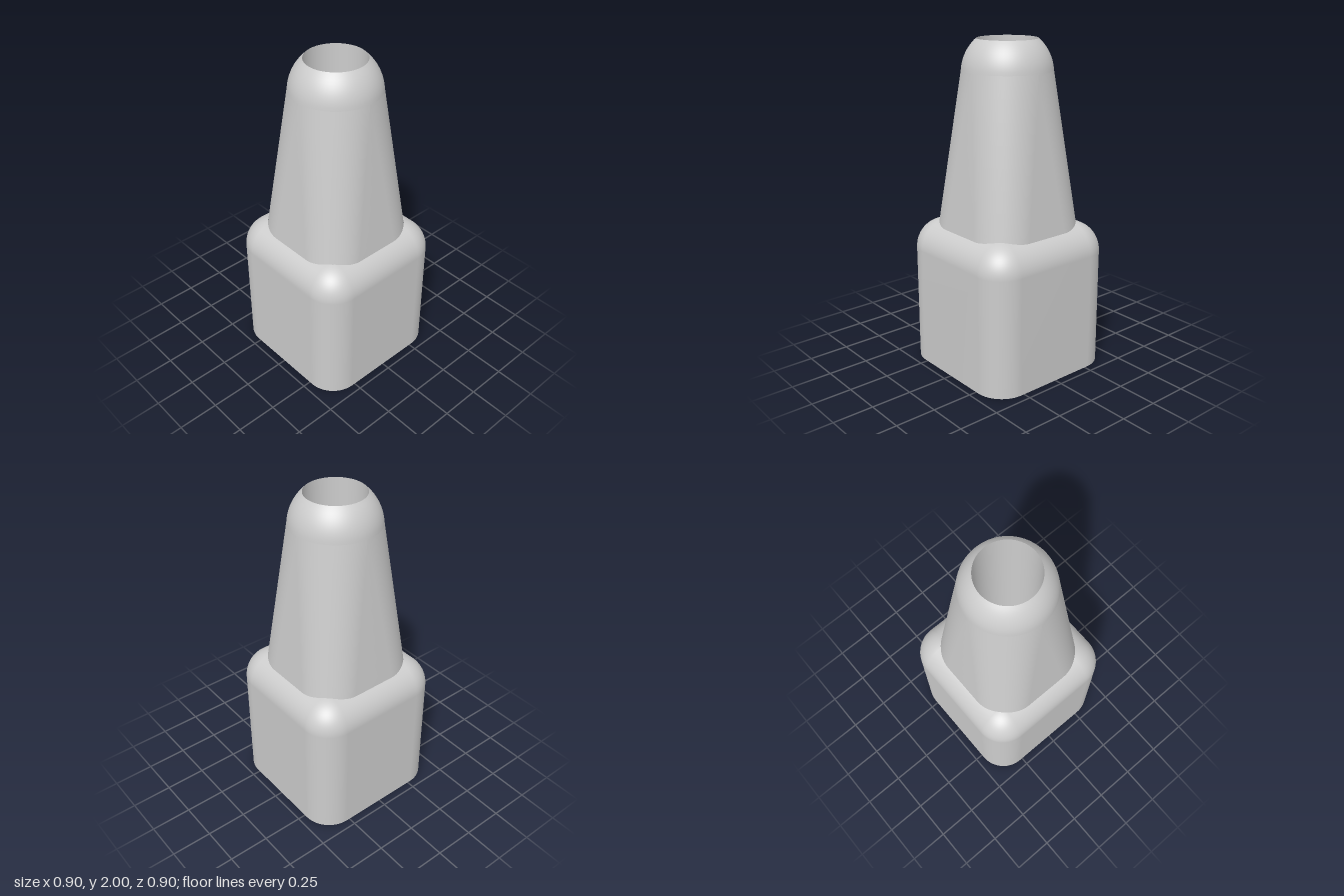
import * as THREE from 'three';

const FLAT = 0.27;     // half length of the straight part of each base side
const ROUND = 0.18;    // corner radius of the base
const BORE = 0.18;     // radius of the through hole
const DOME = 0.27;     // radius of the rounded tip
const SHOULDER = 0.73; // height where the base starts to round over
const STEPS = 16;      // segments per rounded corner

// Points of a rounded square, corner by corner
function roundedSquare(flat, radius) {
  const points = [];
  for (let q = 0; q < 4; q++) {
    const mid = (q + 0.5) * Math.PI / 2;
    const cx = Math.sign(Math.cos(mid)) * flat;
    const cz = Math.sign(Math.sin(mid)) * flat;
    for (let i = 0; i <= STEPS; i++) {
      const a = (q + i / STEPS) * Math.PI / 2;
      points.push(new THREE.Vector2(cx + radius * Math.cos(a), cz + radius * Math.sin(a)));
    }
  }
  return points;
}

// Smooth skin through a stack of rounded squares
function loft(sections) {
  const positions = [], index = [];
  const n = 4 * (STEPS + 1);
  sections.forEach(({ flat, radius, y }, i) => {
    for (const p of roundedSquare(flat, radius)) positions.push(p.x, y, p.y);
    if (i === 0) return;
    for (let j = 0; j < n; j++) {
      const k = (j + 1) % n;
      const a = (i - 1) * n + j, b = (i - 1) * n + k, c = i * n + j, d = i * n + k;
      index.push(a, c, b, b, c, d);
    }
  });
  const geometry = new THREE.BufferGeometry();
  geometry.setAttribute('position', new THREE.Float32BufferAttribute(positions, 3));
  geometry.setIndex(index);
  geometry.computeVertexNormals();
  return geometry;
}

export function createModel() {
  const group = new THREE.Group();
  const material = new THREE.MeshStandardMaterial({ color: 0xcccccc });
  const inner = new THREE.MeshStandardMaterial({ color: 0xcccccc, side: THREE.DoubleSide });
  const add = (name, geometry, mat = material) => {
    const mesh = new THREE.Mesh(geometry, mat);
    mesh.name = name;
    group.add(mesh);
  };

  // Square base with rounded corners and a rounded-over top edge
  const base = [{ flat: FLAT, radius: ROUND, y: 0 }];
  for (let i = 0; i < 15; i++) {
    const t = i / 16 * Math.PI / 2;
    base.push({ flat: FLAT, radius: ROUND * Math.cos(t), y: SHOULDER + ROUND * Math.sin(t) });
  }
  add('base', loft(base));

  // Underside with the hole cut out
  const under = new THREE.Shape(roundedSquare(FLAT, ROUND));
  under.holes.push(new THREE.Path().absarc(0, 0, BORE, 0, Math.PI * 2, true));
  add('underside', new THREE.ShapeGeometry(under, 32).rotateX(Math.PI / 2));

  // Neck tapering from a rounded square to a circle
  const neckTop = 1.82, centre = 1.8;
  const topRadius = Math.sqrt(DOME ** 2 - (neckTop - centre) ** 2);
  const neck = [];
  for (let i = 0; i <= 8; i++) {
    const y = THREE.MathUtils.lerp(0.82, neckTop, i / 8), t = y / neckTop;
    neck.push({ flat: FLAT * (1 - t), radius: THREE.MathUtils.lerp(ROUND, topRadius, t), y });
  }
  add('neck', loft(neck));

  // Rounded tip, cut open where it meets the hole
  const tip = [];
  const from = Math.asin((neckTop - centre) / DOME), to = Math.acos(BORE / DOME);
  for (let i = 0; i <= 10; i++) {
    const a = THREE.MathUtils.lerp(from, to, i / 10);
    tip.push(new THREE.Vector2(DOME * Math.cos(a), centre + DOME * Math.sin(a)));
  }
  add('tip', new THREE.LatheGeometry(tip, 64));

  // Through hole
  const height = centre + DOME * Math.sin(to);
  add('bore', new THREE.CylinderGeometry(BORE, BORE, height, 64, 1, true).translate(0, height / 2, 0), inner);

  return group;
}
